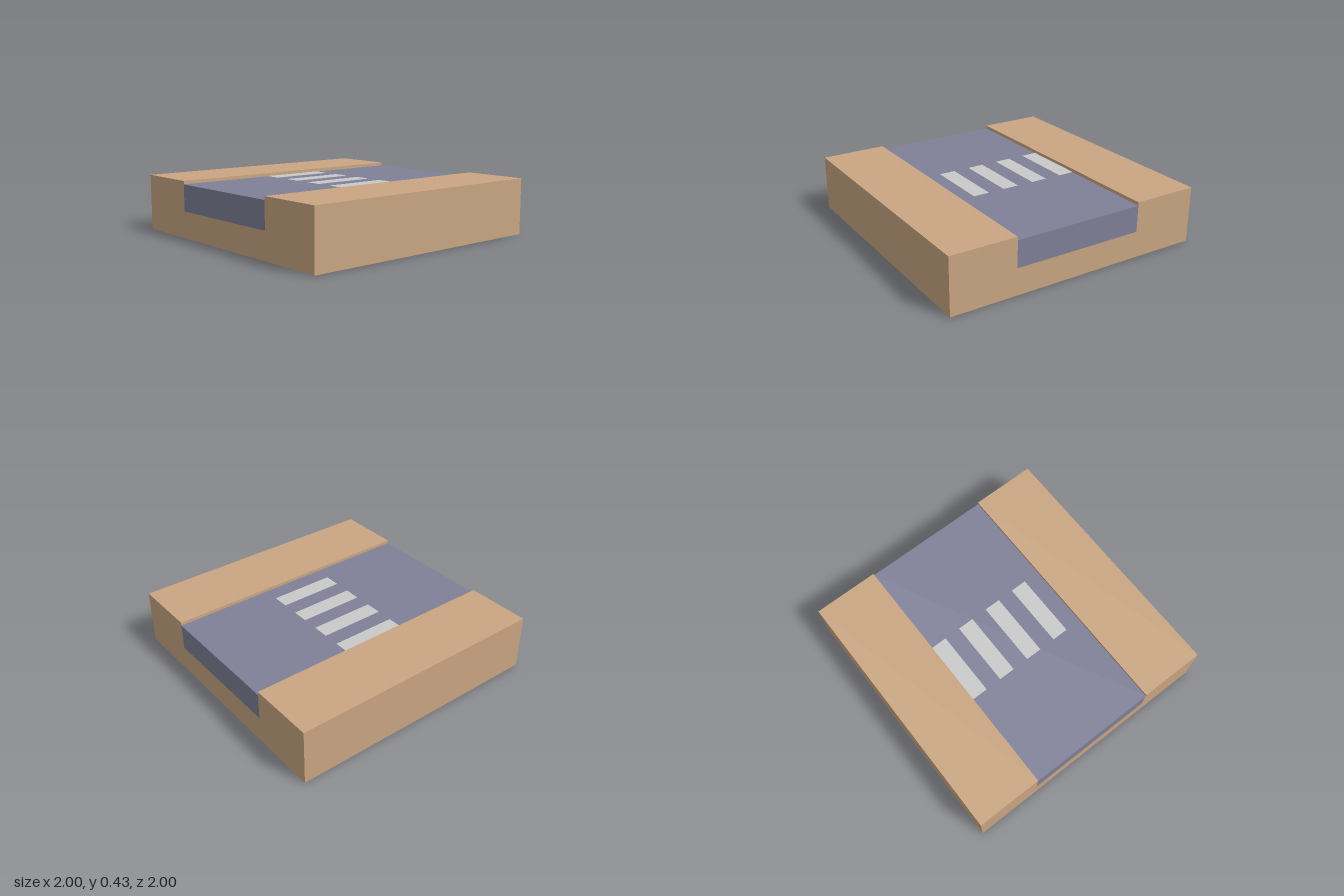
import * as THREE from 'three';

export function createModel() {
  const group = new THREE.Group();
  group.name = 'roadTile';

  const material = (name, color) => {
    const m = new THREE.MeshStandardMaterial({ color });
    m.name = name;
    return m;
  };
  const tan = material('tan pavement', 0xc9a582);
  const asphalt = material('blue grey asphalt', 0x7f8098);
  const paint = material('light grey paint', 0xc9c9c9);

  const add = (name, geometry, mat, x = 0, y = 0, z = 0) => {
    const mesh = new THREE.Mesh(geometry, mat);
    mesh.name = name;
    mesh.position.set(x, y, z);
    group.add(mesh);
  };

  // Base with raised pavements on both sides of a channel
  const profile = new THREE.Shape([
    [-1, 0], [1, 0], [1, 0.425], [0.5, 0.425],
    [0.5, 0.2], [-0.5, 0.2], [-0.5, 0.425], [-1, 0.425],
  ].map(([x, y]) => new THREE.Vector2(x, y)));
  const base = new THREE.ExtrudeGeometry(profile, { depth: 2, bevelEnabled: false });
  base.translate(0, 0, -1).rotateY(Math.PI / 2);
  add('pavementBase', base, tan);

  // Road slab filling the channel
  add('road', new THREE.BoxGeometry(2, 0.2, 1), asphalt, 0, 0.3, 0);

  // Crossing stripes, painted on the road
  const stripe = new THREE.BoxGeometry(0.5, 0.002, 0.125);
  for (let i = 0; i < 4; i++) {
    add(`crossingStripe${i + 1}`, stripe, paint, 0, 0.401, -0.4375 + i * 0.25);
  }

  return group;
}
